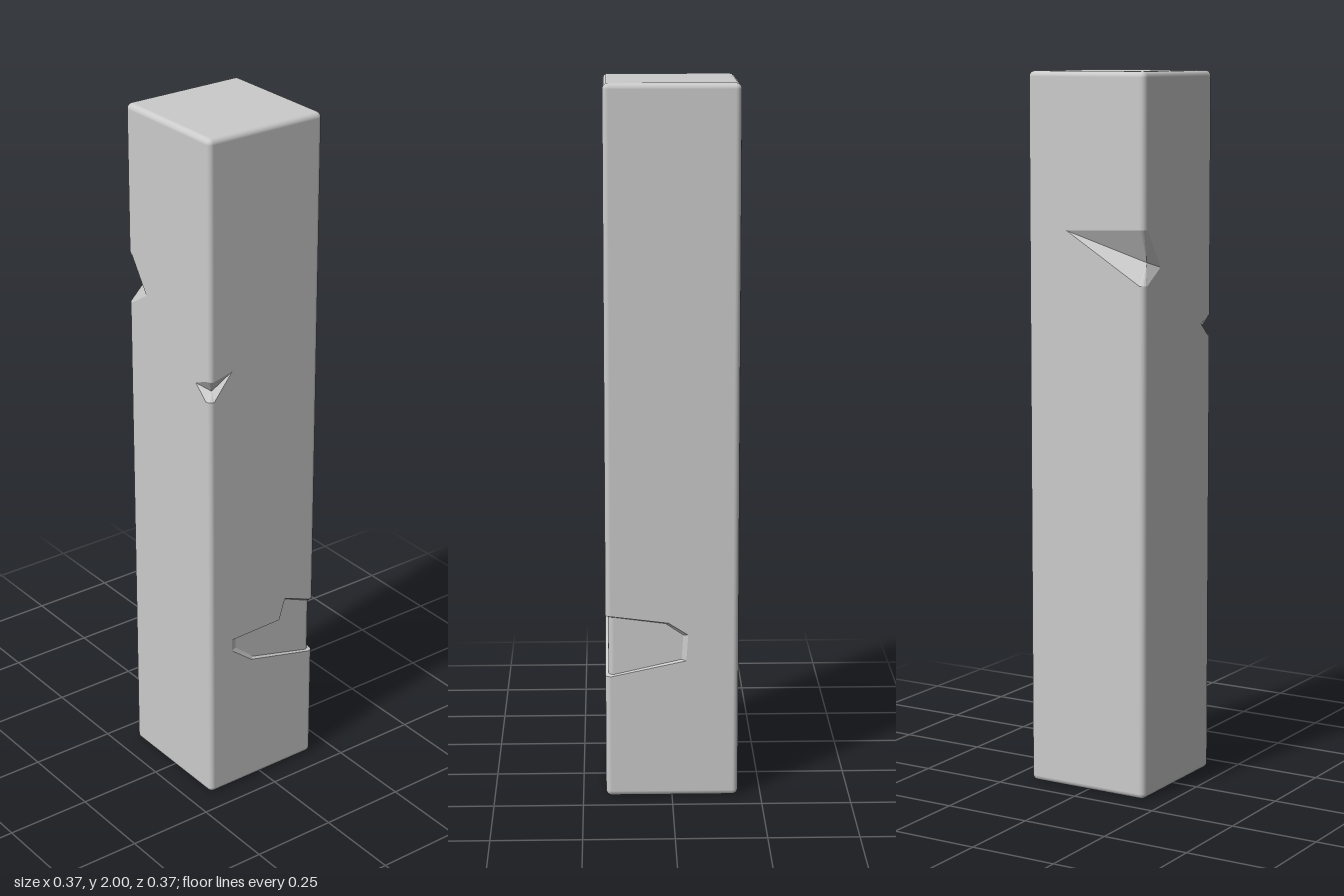
import * as THREE from 'three';
import { mergeGeometries } from 'three/addons/utils/BufferGeometryUtils.js';

const H = 0.186, R = 0.016, W = H - R, TALL = 2, SEG = 4, Q = Math.PI / 2;

// Each chip bites corner k, between side k (points a) and side k + 1 (points b).
// Sides run 0 front, 1 +x, 2 back, 3 -x; points are [across, up], listed downwards.
const chips = [
  { name: 'upperNotch', corner: 3, top: 1.58, bottom: 1.43,
    a: [[-0.06, 1.57]], b: [[-0.1, 1.475]], apex: [-0.143, 1.49, 0.168] },
  { name: 'smallNotch', corner: 0, top: 1.32, bottom: 1.26,
    a: [[0.125, 1.3]], b: [[-0.11, 1.335]], apex: [0.167, 1.285, 0.165] },
  { name: 'flakedPatch', corner: 1, top: 0.53, bottom: 0.355, depth: 0.008,
    a: [[0.08, 0.565], [0.06, 0.5], [-0.11, 0.495], [-0.11, 0.46], [-0.04, 0.405]],
    b: [[-0.01, 0.51], [0.045, 0.475], [0.04, 0.4]] },
];

const material = new THREE.MeshStandardMaterial({ color: 0xcccccc });
const mesh = (name, geometry) => {
  const m = new THREE.Mesh(geometry, material);
  m.name = name;
  return m;
};
const flatShape = (points, z) =>
  new THREE.ShapeGeometry(new THREE.Shape(points.map(p => new THREE.Vector2(...p)))).translate(0, 0, z);

// Rounded vertical edge between two heights
const edgePiece = (y0, y1) =>
  new THREE.CylinderGeometry(R, R, y1 - y0, SEG, 1, true, 0, Q).translate(W, (y0 + y1) / 2, W);

// Closed outline of a chip in its corner's frame, clockwise from outside
function rimLoop(c) {
  const arc = y => Array.from({ length: SEG + 1 }, (_, i) => new THREE.Vector3(
    W + R * Math.sin(Q * i / SEG), y, W + R * Math.cos(Q * i / SEG)));
  return [
    ...arc(c.top),
    ...c.b.map(([u, y]) => new THREE.Vector3(H, y, -u)),
    ...arc(c.bottom).reverse(),
    ...[...c.a].reverse().map(([u, y]) => new THREE.Vector3(u, y, H)),
  ];
}

// Walls from the rim down to an inner loop, or to one apex
function pitWalls(rim, inner) {
  const pts = [];
  rim.forEach((p, i) => {
    const j = (i + 1) % rim.length;
    pts.push(rim[j], p, inner[i]);
    if (inner[i] !== inner[j]) pts.push(rim[j], inner[i], inner[j]);
  });
  const g = new THREE.BufferGeometry().setFromPoints(pts);
  g.computeVertexNormals();
  return g;
}

function buildChip(c) {
  const group = new THREE.Group();
  group.name = c.name;
  group.rotation.y = c.corner * Q;
  const rim = rimLoop(c);
  if (c.apex) {
    const apex = new THREE.Vector3(...c.apex).applyAxisAngle(new THREE.Vector3(0, 1, 0), -c.corner * Q);
    group.add(mesh(c.name + 'Facets', pitWalls(rim, rim.map(() => apex))));
    return group;
  }
  // Shallow patch: floor follows both sides and the edge, sunk by depth
  const d = c.depth, mid = (c.top + c.bottom) / 2;
  const sinkY = y => mid + (y - mid) * 0.95;
  const shrink = v => (v < W ? W - (W - v) * 0.9 : v) - d;
  const inset = {
    top: sinkY(c.top), bottom: sinkY(c.bottom),
    a: c.a.map(([u, y]) => [shrink(u), sinkY(y)]),
    b: c.b.map(([u, y]) => [-shrink(-u), sinkY(y)]),
  };
  const inner = rim.map(p => new THREE.Vector3(shrink(p.x), sinkY(p.y), shrink(p.z)));
  const e = W - d;
  group.add(mesh(c.name + 'Walls', pitWalls(rim, inner)));
  group.add(mesh(c.name + 'Floor', mergeGeometries([
    flatShape([[e, inset.top], ...inset.a, [e, inset.bottom]], H - d),
    flatShape([[-e, inset.top], ...inset.b, [-e, inset.bottom]], H - d).rotateY(Q),
    edgePiece(inset.bottom, inset.top).translate(-d, 0, -d),
  ])));
  return group;
}

export function createModel() {
  const model = new THREE.Group();
  model.name = 'chippedPillar';

  for (let k = 0; k < 4; k++) {
    const right = chips.filter(c => c.corner === k);
    const left = chips.filter(c => c.corner === (k + 3) % 4);

    // Flat side with the chip outlines cut from its edges
    const outline = [[-W, R], [W, R]];
    right.forEach(c => outline.push([W, c.bottom], ...[...c.a].reverse(), [W, c.top]));
    outline.push([W, TALL - R], [-W, TALL - R]);
    left.forEach(c => outline.push([-W, c.top], ...c.b, [-W, c.bottom]));
    const side = mesh('side', flatShape(outline, H));

    // Rounded vertical edge, interrupted by chips
    const pieces = [];
    let y = R;
    right.forEach(c => { pieces.push(edgePiece(y, c.bottom)); y = c.top; });
    pieces.push(edgePiece(y, TALL - R));

    // Rounded top and bottom edges with their corners
    const rail = (start, h) => new THREE.CylinderGeometry(R, R, 2 * W, SEG, 1, true, start, Q)
      .rotateZ(Q).translate(0, h, W);
    const ball = (start, h) => new THREE.SphereGeometry(R, SEG, SEG, Q, Q, start, Q).translate(W, h, W);
    pieces.push(rail(0, TALL - R), rail(-Q, R), ball(0, TALL - R), ball(Q, R));
    const edges = mesh('roundedEdges', mergeGeometries(pieces));

    side.rotation.y = edges.rotation.y = k * Q;
    model.add(side, edges);
  }

  // End caps
  const cap = () => new THREE.PlaneGeometry(2 * W, 2 * W);
  model.add(mesh('topCap', cap().rotateX(-Q).translate(0, TALL, 0)));
  model.add(mesh('bottomCap', cap().rotateX(Q)));

  chips.forEach(c => model.add(buildChip(c)));
  return model;
}
